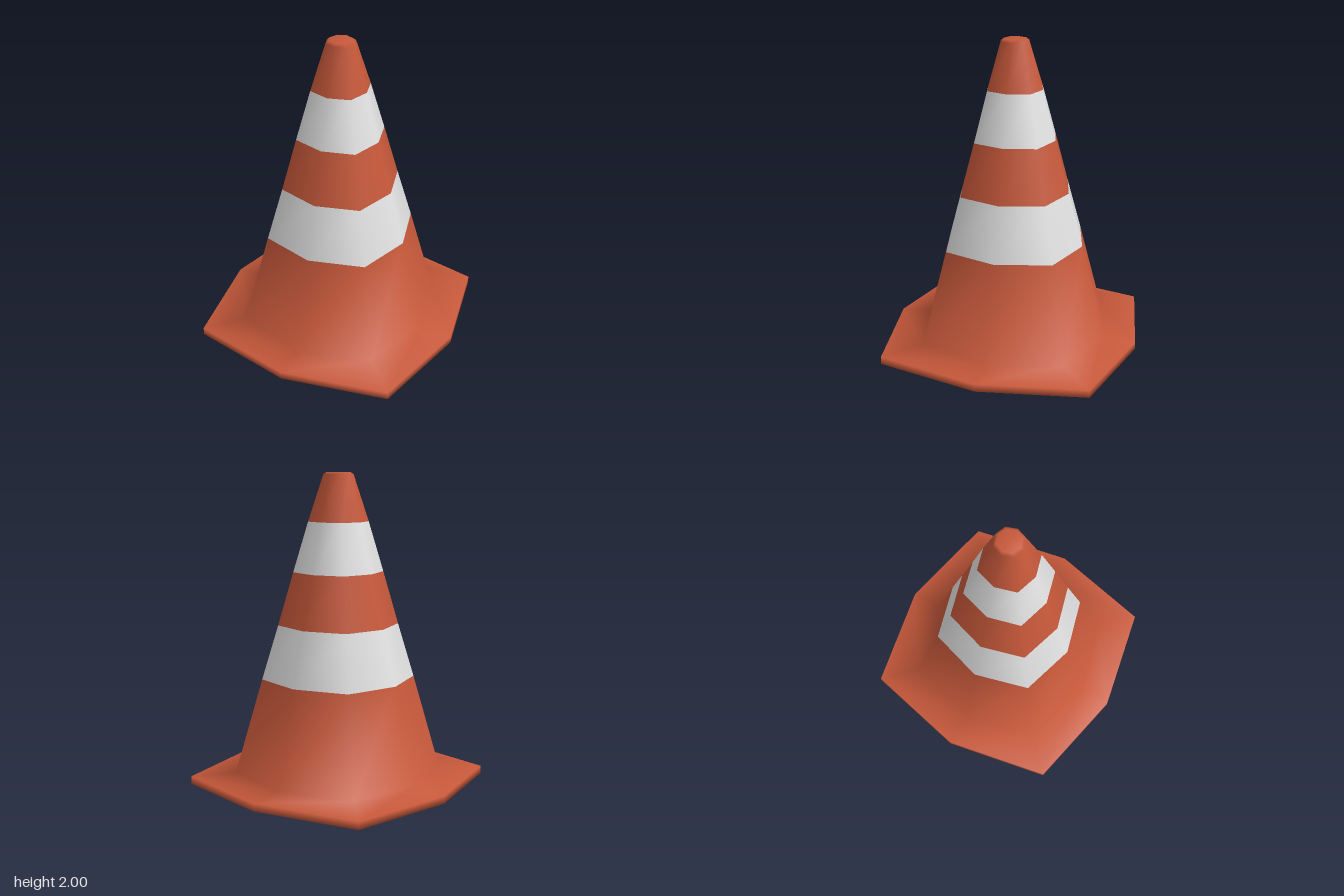
import * as THREE from 'three';

// Eight-sided rings from the ground up: [height, reach along the axes, corner x and z]
const RINGS = [
  [0, 0.82, 0.68],
  [0.05, 0.82, 0.68],
  [0.07, 0.61, 0.475],
  [0.68, 0.45, 0.35],
  [1.03, 0.355, 0.275],
  [1.37, 0.262, 0.205],
  [1.69, 0.178, 0.137],
  [1.985, 0.093, 0.068],
  [2.0, 0.075, 0.054],
];
const SIDES = 8;

function ringPoint([y, axis, corner], i) {
  const angle = (i * Math.PI) / 4;
  const reach = i % 2 ? corner * Math.SQRT2 : axis;
  return [Math.cos(angle) * reach, y, Math.sin(angle) * reach];
}

// Wall between ring k and the ring above it
function wall(k) {
  const faces = [];
  for (let i = 0; i < SIDES; i++) {
    const a = k * SIDES + i;
    const b = k * SIDES + ((i + 1) % SIDES);
    faces.push(a, a + SIDES, b, b, a + SIDES, b + SIDES);
  }
  return faces;
}

export function createModel() {
  const group = new THREE.Group();
  group.name = 'trafficCone';
  const orange = new THREE.MeshStandardMaterial({ color: 0xc6583a });
  orange.name = 'orange';
  const white = new THREE.MeshStandardMaterial({ color: 0xe2e2e2 });
  white.name = 'white';

  // Shared points, so shading runs smoothly from part to part
  const points = RINGS.flatMap((ring) =>
    Array.from({ length: SIDES }, (_, i) => ringPoint(ring, i)).flat());
  const tip = RINGS.length * SIDES;
  points.push(0, 2, 0);

  const underside = [0, 1, 2, 0, 2, 7, 2, 3, 7, 3, 6, 7, 3, 4, 6, 4, 5, 6];
  const cap = [];
  for (let i = 0; i < SIDES; i++) {
    cap.push(tip - SIDES + i, tip, tip - SIDES + ((i + 1) % SIDES));
  }

  const parts = [
    ['base', orange, [...underside, ...wall(0), ...wall(1)]],
    ['lowerCone', orange, wall(2)],
    ['lowerStripe', white, wall(3)],
    ['middleCone', orange, wall(4)],
    ['upperStripe', white, wall(5)],
    ['coneTop', orange, [...wall(6), ...wall(7), ...cap]],
  ];

  const whole = new THREE.BufferGeometry();
  whole.setAttribute('position', new THREE.Float32BufferAttribute(points, 3));
  whole.setIndex(parts.flatMap((part) => part[2]));
  whole.computeVertexNormals();

  for (const [name, material, faces] of parts) {
    const geometry = new THREE.BufferGeometry();
    geometry.setAttribute('position', whole.getAttribute('position'));
    geometry.setAttribute('normal', whole.getAttribute('normal'));
    geometry.setIndex(faces);
    const mesh = new THREE.Mesh(geometry, material);
    mesh.name = name;
    group.add(mesh);
  }
  return group;
}
